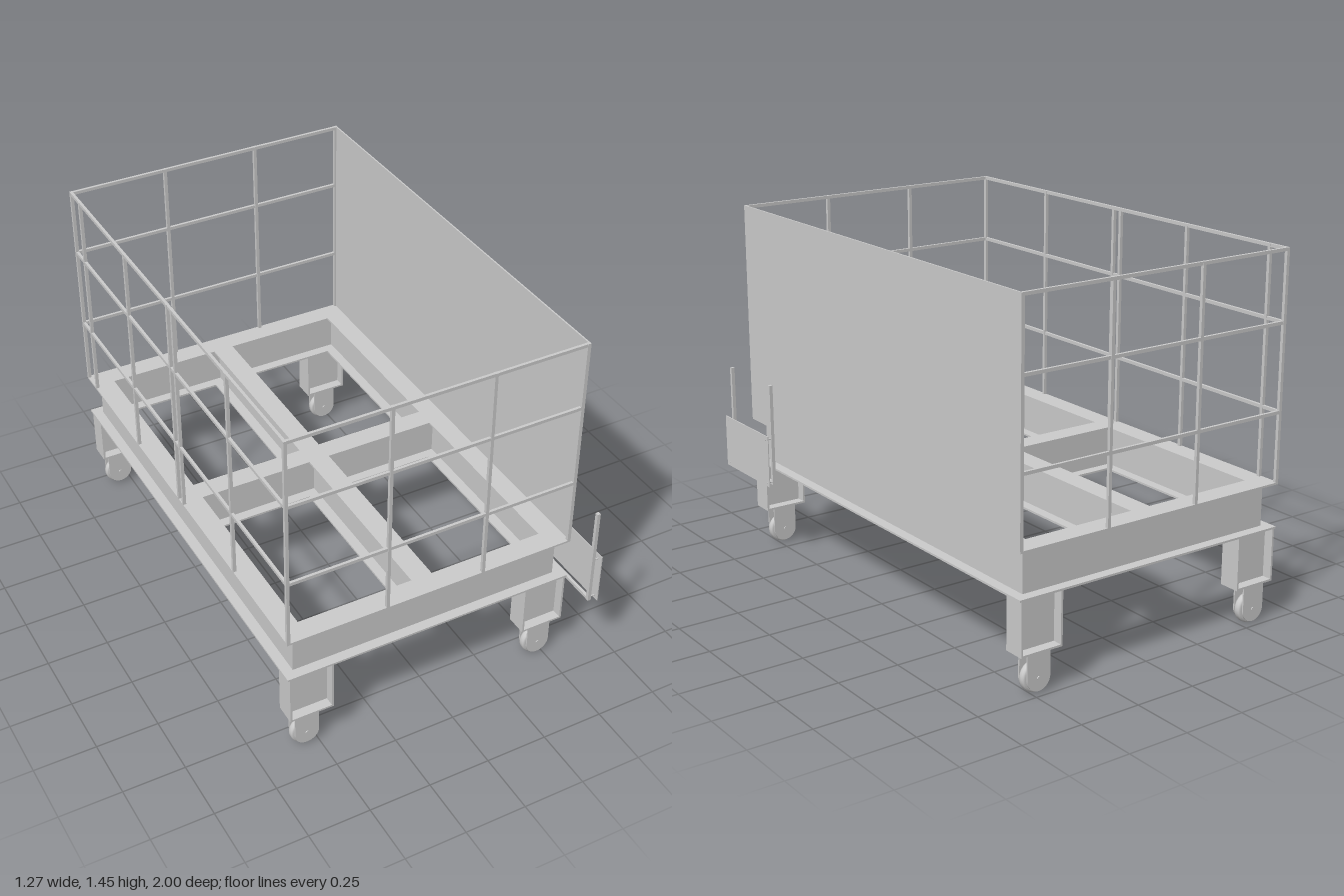
import * as THREE from 'three';

const grey = new THREE.MeshStandardMaterial({ color: 0xcccccc, side: THREE.DoubleSide });

// Outer limits of the chassis and cage
const X0 = -0.633, X1 = 0.572, Z0 = -0.997, Z1 = 0.873;
const FLANGE = 0.087, MIDX = -0.031, MIDZ = -0.062;
const BASE = 0.375, DECK = 0.56, TOP = 1.456, BAR = 0.013;

function add(parent, name, geometry, x = 0, y = 0, z = 0) {
  const mesh = new THREE.Mesh(geometry, grey);
  mesh.name = name;
  mesh.position.set(x, y, z);
  parent.add(mesh);
  return mesh;
}

// Box given by its limits on each axis
function box(parent, name, xa, xb, ya, yb, za, zb) {
  return add(parent, name, new THREE.BoxGeometry(xb - xa, yb - ya, zb - za),
    (xa + xb) / 2, (ya + yb) / 2, (za + zb) / 2);
}

function rect(target, xa, xb, ya, yb) {
  target.moveTo(xa, ya).lineTo(xb, ya).lineTo(xb, yb).lineTo(xa, yb).closePath();
  return target;
}

// Flat frame with four openings: the joined flanges of all beams
function flangeFrame(parent, name, y, thick) {
  const shape = rect(new THREE.Shape(), X0, X1, -Z1, -Z0);
  const h = FLANGE / 2;
  for (const [xa, xb] of [[X0 + FLANGE, MIDX - h], [MIDX + h, X1 - FLANGE]])
    for (const [za, zb] of [[Z0 + FLANGE, MIDZ - h], [MIDZ + h, Z1 - FLANGE]])
      shape.holes.push(rect(new THREE.Path(), xa, xb, -zb, -za));
  const geometry = new THREE.ExtrudeGeometry(shape, { depth: thick, bevelEnabled: false });
  add(parent, name, geometry.rotateX(-Math.PI / 2), 0, y, 0);
}

// I-beam chassis
function chassis() {
  const g = new THREE.Group();
  g.name = 'chassis';
  const t = 0.008, h = FLANGE / 2, w = 0.003;
  flangeFrame(g, 'topFlange', DECK - t, t);
  flangeFrame(g, 'bottomFlange', BASE, t);
  const xs = [X0 + h, MIDX, X1 - h], zs = [Z0 + h, MIDZ, Z1 - h];
  for (const x of xs) box(g, 'longWeb', x - w, x + w, BASE + t, DECK - t, zs[0] - w, zs[2] + w);
  for (const z of zs)
    for (let i = 0; i < 2; i++)
      box(g, 'crossWeb', xs[i] + w, xs[i + 1] - w, BASE + t, DECK - t, z - w, z + w);
  return g;
}

// Leg of I-section with a foot plate, and the castor below it
function leg(x, wheelX, z) {
  const g = new THREE.Group();
  g.name = 'leg';
  const hx = 0.09, hz = FLANGE / 2, t = 0.008, low = 0.165;
  for (const s of [-1, 1]) {
    const a = x + s * hx, b = x + s * (hx - t);
    box(g, 'legFlange', Math.min(a, b), Math.max(a, b), low, BASE, z - hz, z + hz);
  }
  box(g, 'legWeb', x - hx + t, x + hx - t, low + t, BASE, z - 0.004, z + 0.004);
  box(g, 'footPlate', x - hx + t, x + hx - t, low, low + t, z - hz, z + hz);

  const castor = new THREE.Group();
  castor.name = 'castor';
  castor.position.set(wheelX, 0.062, z);
  g.add(castor);
  // Rounded fork cheeks
  const cheek = new THREE.Shape();
  cheek.moveTo(0.05, 0.104).lineTo(-0.05, 0.104).lineTo(-0.05, 0);
  cheek.absarc(0, 0, 0.05, Math.PI, Math.PI * 2, false);
  cheek.closePath();
  const cheekGeo = new THREE.ExtrudeGeometry(cheek, { depth: 0.006, bevelEnabled: false, curveSegments: 20 });
  add(castor, 'forkCheek', cheekGeo, 0, 0, 0.021);
  add(castor, 'forkCheek', cheekGeo, 0, 0, -0.027);
  box(castor, 'forkCrown', -0.05, 0.05, 0.096, 0.104, -0.021, 0.021);
  // Wheel with a slightly rounded tread
  const profile = [[0, -0.016], [0.05, -0.016], [0.058, -0.012], [0.06, -0.006],
    [0.06, 0.006], [0.058, 0.012], [0.05, 0.016], [0, 0.016]].map(p => new THREE.Vector2(...p));
  add(castor, 'wheel', new THREE.LatheGeometry(profile, 32).rotateX(Math.PI / 2));
  add(castor, 'axle', new THREE.CylinderGeometry(0.008, 0.008, 0.062, 16).rotateX(Math.PI / 2));
  return g;
}

// Barred cage on three sides, sheet on the fourth
function cage() {
  const g = new THREE.Group();
  g.name = 'cage';
  const b = BAR;
  const post = (name, x, z) => box(g, name, x - b / 2, x + b / 2, DECK, TOP, z - b / 2, z + b / 2);
  const xa = X0 + b / 2, xb = X1 - b / 2, za = Z0 + b / 2, zb = Z1 - b / 2;
  for (const z of [za, zb]) {
    post('cornerPost', xa, z);
    post('cornerPost', xb, z);
    for (const x of [-0.222, 0.184]) post('endPost', x, z);
  }
  for (const z of [0.43, -0.017, -0.06, -0.455, -0.902]) post('sidePost', xa, z);
  for (const y of [0.835, 1.177, TOP - b / 2]) {
    for (const z of [za, zb])
      box(g, 'endRail', xa, xb, y - b / 2, y + b / 2, z - b / 2 + 0.001, z + b / 2 - 0.001);
    box(g, 'sideRail', xa - b / 2 + 0.001, xa + b / 2 - 0.001, y - b / 2, y + b / 2, za, zb);
  }
  box(g, 'sidePanel', X1 - 0.005, X1 + 0.001, DECK, TOP, Z0, Z1);
  return g;
}

// Plate bolted to two uprights beside the front corner
function sidePlate() {
  const g = new THREE.Group();
  g.name = 'sidePlate';
  box(g, 'plate', 0.629, 0.633, 0.328, 0.545, 0.637, 1.0);
  for (const z of [0.655, 0.98]) {
    box(g, 'upright', 0.596, 0.61, 0.33, 0.755, z - 0.007, z + 0.007);
    for (const y of [0.343, 0.528])
      add(g, 'bolt', new THREE.CylinderGeometry(0.003, 0.003, 0.03, 10).rotateZ(Math.PI / 2), 0.62, y, z);
  }
  box(g, 'crossBar', 0.597, 0.609, 0.33, 0.343, 0.66, 0.975);
  return g;
}

export function createModel() {
  const model = new THREE.Group();
  model.name = 'cageTrolley';
  model.add(chassis(), cage(), sidePlate());
  for (const z of [Z0 + FLANGE / 2, Z1 - FLANGE / 2]) {
    model.add(leg(-0.535, -0.548, z));
    model.add(leg(0.475, 0.475, z));
  }
  return model;
}
